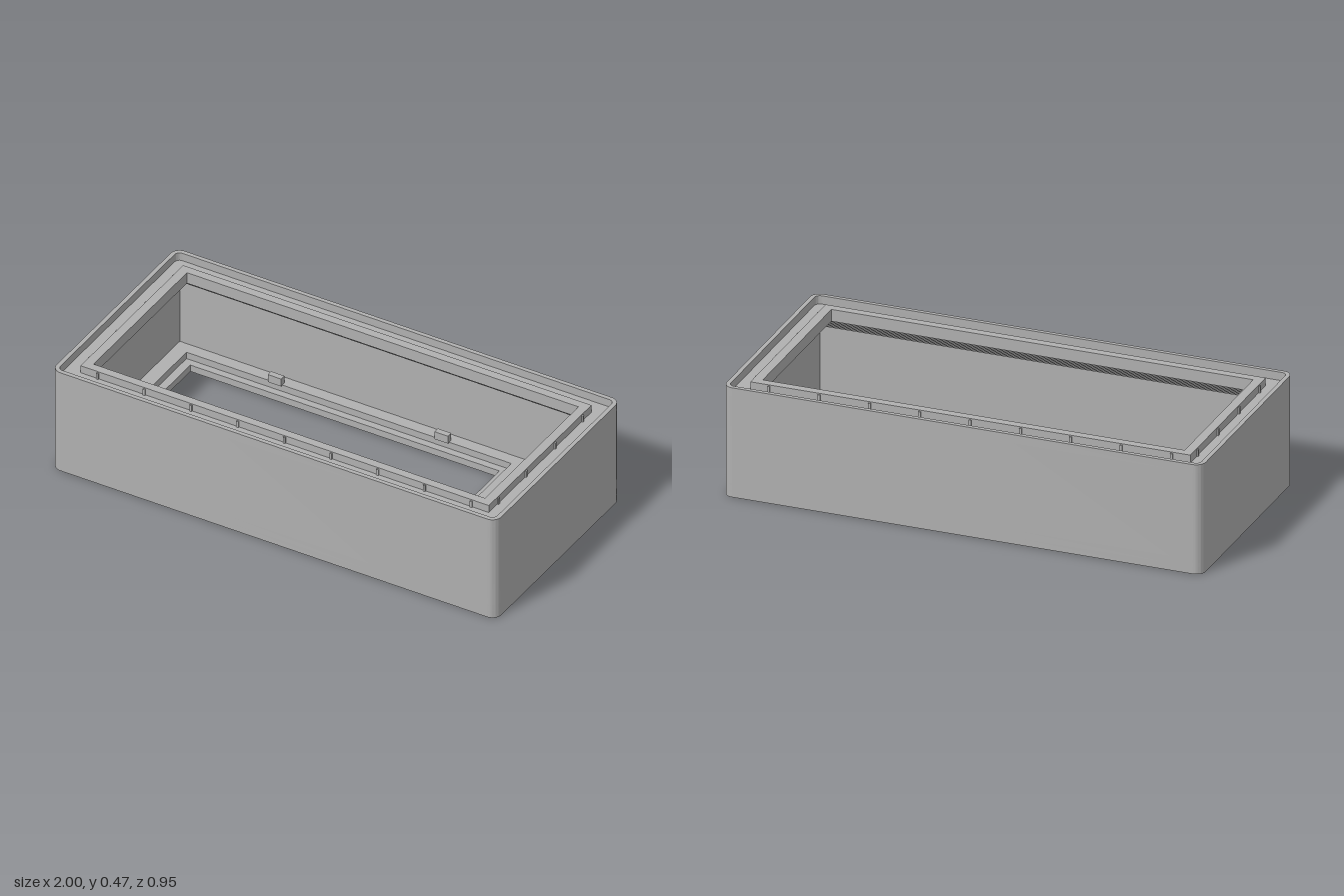
import * as THREE from 'three';
import { toCreasedNormals } from 'three/addons/utils/BufferGeometryUtils.js';

const HALF_X = 1, HALF_Z = 0.473;

// Rectangle outline between two x limits, with optional rounded corners
function rect(PathType, x0, x1, hz, r = 0) {
  const p = new PathType();
  if (r === 0) {
    p.moveTo(x0, -hz).lineTo(x1, -hz).lineTo(x1, hz).lineTo(x0, hz).closePath();
    return p;
  }
  p.absarc(x1 - r, -hz + r, r, -Math.PI / 2, 0);
  p.absarc(x1 - r, hz - r, r, 0, Math.PI / 2);
  p.absarc(x0 + r, hz - r, r, Math.PI / 2, Math.PI);
  p.absarc(x0 + r, -hz + r, r, Math.PI, Math.PI * 1.5);
  p.closePath();
  return p;
}

const outline = () => rect(THREE.Shape, -HALF_X, HALF_X, HALF_Z, 0.04);
const hole = (hx, hz, r = 0) => rect(THREE.Path, -hx, hx, hz, r);

export function createModel() {
  const model = new THREE.Group();
  model.name = 'enclosure';
  const grey = new THREE.MeshStandardMaterial({ color: 0xb0b0b0 });
  grey.name = 'grey plastic';

  // Horizontal layer from y0 to y1 with openings cut through it
  function layer(name, y0, y1, shape, holes) {
    shape.holes.push(...holes);
    let geo = new THREE.ExtrudeGeometry(shape, { depth: y1 - y0, bevelEnabled: false, curveSegments: 16 });
    geo.rotateX(-Math.PI / 2);
    geo.translate(0, y0, 0);
    geo = toCreasedNormals(geo, 0.6);
    const mesh = new THREE.Mesh(geo, grey);
    mesh.name = name;
    model.add(mesh);
  }

  function block(name, w, h, d, x, y, z) {
    const mesh = new THREE.Mesh(new THREE.BoxGeometry(w, h, d), grey);
    mesh.name = name;
    mesh.position.set(x, y, z);
    model.add(mesh);
  }

  // Two round holes through the floor
  const roundHoles = () => [-1, 1].map((s) => {
    const p = new THREE.Path();
    p.absarc(0.72, s * 0.225, 0.083, 0, Math.PI * 2);
    return p;
  });

  // Floor with a stepped window
  layer('lowerFloor', 0, 0.03, outline(), [rect(THREE.Path, -0.865, 0.525, 0.355), ...roundHoles()]);
  layer('upperFloor', 0.03, 0.06, outline(), [rect(THREE.Path, -0.9, 0.56, 0.385), ...roundHoles()]);

  // Walls, and the thin outer rim around the groove
  layer('walls', 0.06, 0.43, outline(), [hole(0.96, 0.435)]);
  layer('outerRim', 0.43, 0.465, outline(), [hole(0.982, 0.455, 0.022)]);

  // Stepped overhang under the opening
  const steps = 10, yLow = 0.35, yHigh = 0.42, dy = (yHigh - yLow) / steps;
  for (let i = 0; i < steps; i++) {
    const inset = 0.08 * (i + 1) / steps;
    layer('overhangStep', yLow + i * dy, yLow + (i + 1) * dy,
      rect(THREE.Shape, -0.965, 0.965, 0.44), [hole(0.96 - inset, 0.435 - inset)]);
  }

  // Ledge at the groove floor and the raised inner lip
  layer('grooveLedge', yHigh, 0.43, rect(THREE.Shape, -0.965, 0.965, 0.44), [hole(0.88, 0.355)]);
  layer('innerLip', 0.43, 0.463, rect(THREE.Shape, -0.918, 0.918, 0.39), [hole(0.88, 0.355)]);

  // Small ribs around the outside of the lip
  for (const s of [-1, 1]) {
    for (const x of [-0.84, -0.63, -0.42, -0.21, 0, 0.21, 0.42, 0.63, 0.84])
      block('lipRib', 0.01, 0.028, 0.008, x, 0.444, s * 0.392);
    for (const z of [-0.32, -0.11, 0.11, 0.32])
      block('lipRib', 0.008, 0.028, 0.01, s * 0.92, 0.444, z);
  }

  // Retaining clips along the long window edges
  for (const x of [-0.5, 0.25]) block('backClip', 0.06, 0.035, 0.025, x, 0.075, -0.39);
  for (const x of [-0.59, -0.12, 0.35]) block('frontClip', 0.06, 0.02, 0.025, x, 0.06, 0.385);

  return model;
}
